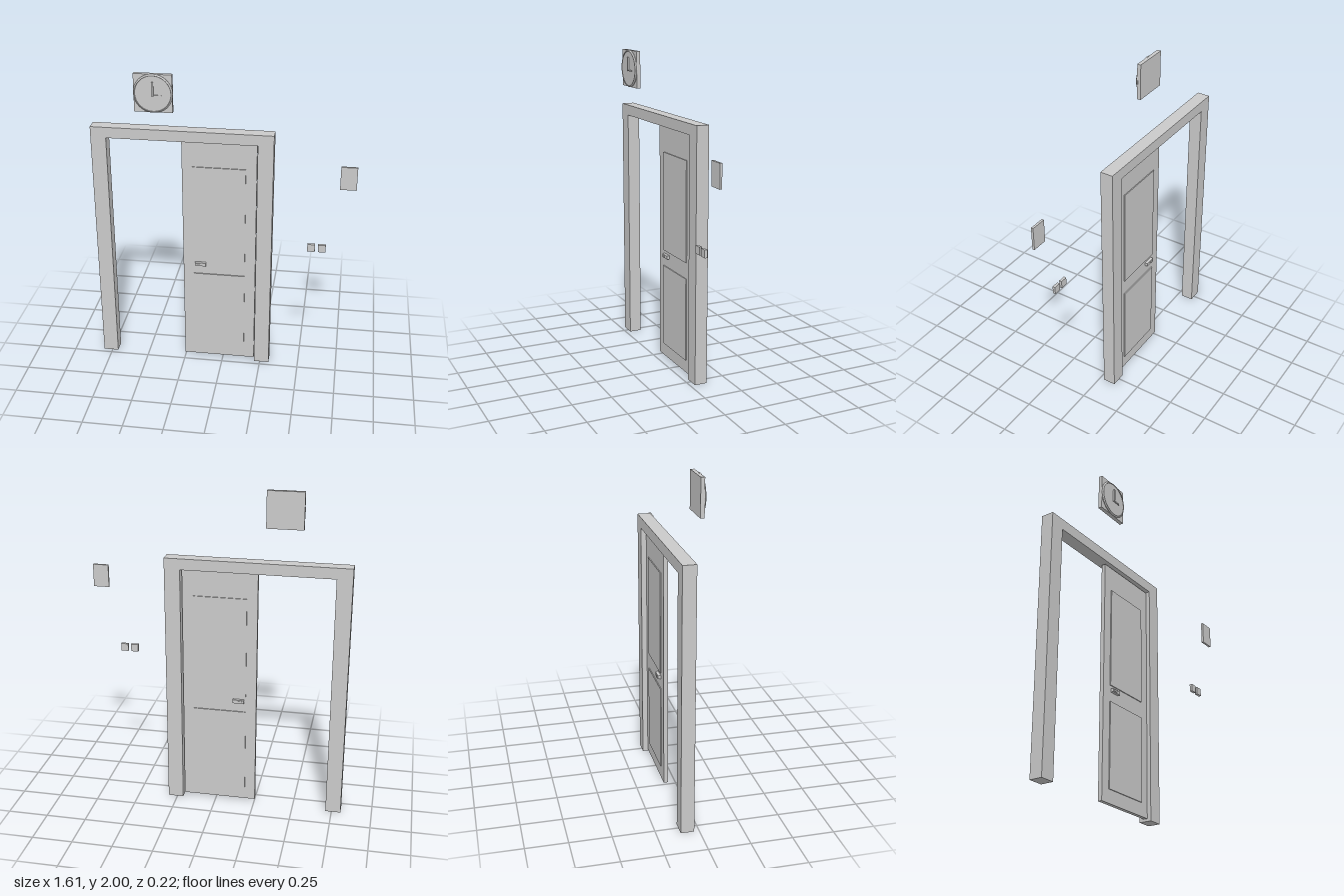
import * as THREE from 'three';

export function createModel() {
  const root = new THREE.Group();
  const grey = new THREE.MeshStandardMaterial({ color: 0xcacaca });
  grey.name = 'pale grey';

  // Box given by its low and high corner on each axis
  function box(name, parent, [x0, x1], [y0, y1], [z0, z1]) {
    const geometry = new THREE.BoxGeometry(x1 - x0, y1 - y0, z1 - z0);
    geometry.translate((x0 + x1) / 2, (y0 + y1) / 2, (z0 + z1) / 2);
    const mesh = new THREE.Mesh(geometry, grey);
    mesh.name = name;
    parent.add(mesh);
  }

  function group(name) {
    const g = new THREE.Group();
    g.name = name;
    root.add(g);
    return g;
  }

  // Door frame: two jambs and a head in one extruded outline
  const outline = new THREE.Shape([
    [-0.807, 0], [-0.712, 0], [-0.712, 1.542], [0.212, 1.542],
    [0.212, 0], [0.308, 0], [0.308, 1.61], [-0.807, 1.61],
  ].map(([x, y]) => new THREE.Vector2(x, y)));
  const frameGeometry = new THREE.ExtrudeGeometry(outline, { depth: 0.08, bevelEnabled: false });
  frameGeometry.translate(0, 0, -0.11);
  const frame = new THREE.Mesh(frameGeometry, grey);
  frame.name = 'doorFrame';
  root.add(frame);

  // Half-open sliding door, with raised panels and a pull on both faces
  const door = group('door');
  const front = -0.052, back = -0.078;
  box('doorLeaf', door, [-0.253, 0.207], [0.015, 1.535], [back, front]);
  for (const [side, face, dir] of [['front', front, 1], ['back', back, -1]]) {
    const depth = (a, b) => [face + dir * a, face + dir * b].sort((p, q) => p - q);
    box(side + 'UpperPanel', door, [-0.188, 0.14], [0.737, 1.376], depth(-0.002, 0.006));
    box(side + 'LowerPanel', door, [-0.188, 0.14], [0.098, 0.633], depth(-0.002, 0.006));
    box(side + 'HandlePlate', door, [-0.178, -0.108], [0.695, 0.717], depth(-0.002, 0.018));
    box(side + 'HandleGrip', door, [-0.168, -0.143], [0.7, 0.712], depth(0.01, 0.023));
  }

  // Wall clock: square back, round bezel with a sunken face, two hands
  const clock = group('wallClock');
  const cx = -0.384, cy = 1.884;
  box('clockBack', clock, [-0.498, -0.272], [1.77, 1.998], [0.07, 0.094]);
  const profile = [[0, 0.088], [0.116, 0.088], [0.116, 0.097],
    [0.108, 0.104], [0.106, 0.101], [0, 0.101]].map(([r, z]) => new THREE.Vector2(r, z));
  const dialGeometry = new THREE.LatheGeometry(profile, 32).toNonIndexed();
  dialGeometry.rotateX(Math.PI / 2);
  dialGeometry.computeVertexNormals();
  dialGeometry.translate(cx, cy, 0);
  const dial = new THREE.Mesh(dialGeometry, grey);
  dial.name = 'clockDial';
  clock.add(dial);
  box('minuteHand', clock, [cx - 0.005, cx + 0.005], [cy - 0.015, cy + 0.07], [0.1, 0.11]);
  box('hourHand', clock, [cx - 0.005, cx + 0.052], [cy - 0.015, cy - 0.007], [0.1, 0.107]);

  // Small wall fittings beside the door
  box('wallPanel', root, [0.71, 0.807], [1.343, 1.486], [0.07, 0.084]);
  for (const [i, x] of [0.535, 0.6].entries()) {
    box('lightSwitch' + (i + 1), root, [x, x + 0.046], [0.92, 0.968], [0.07, 0.087]);
  }

  return root;
}
